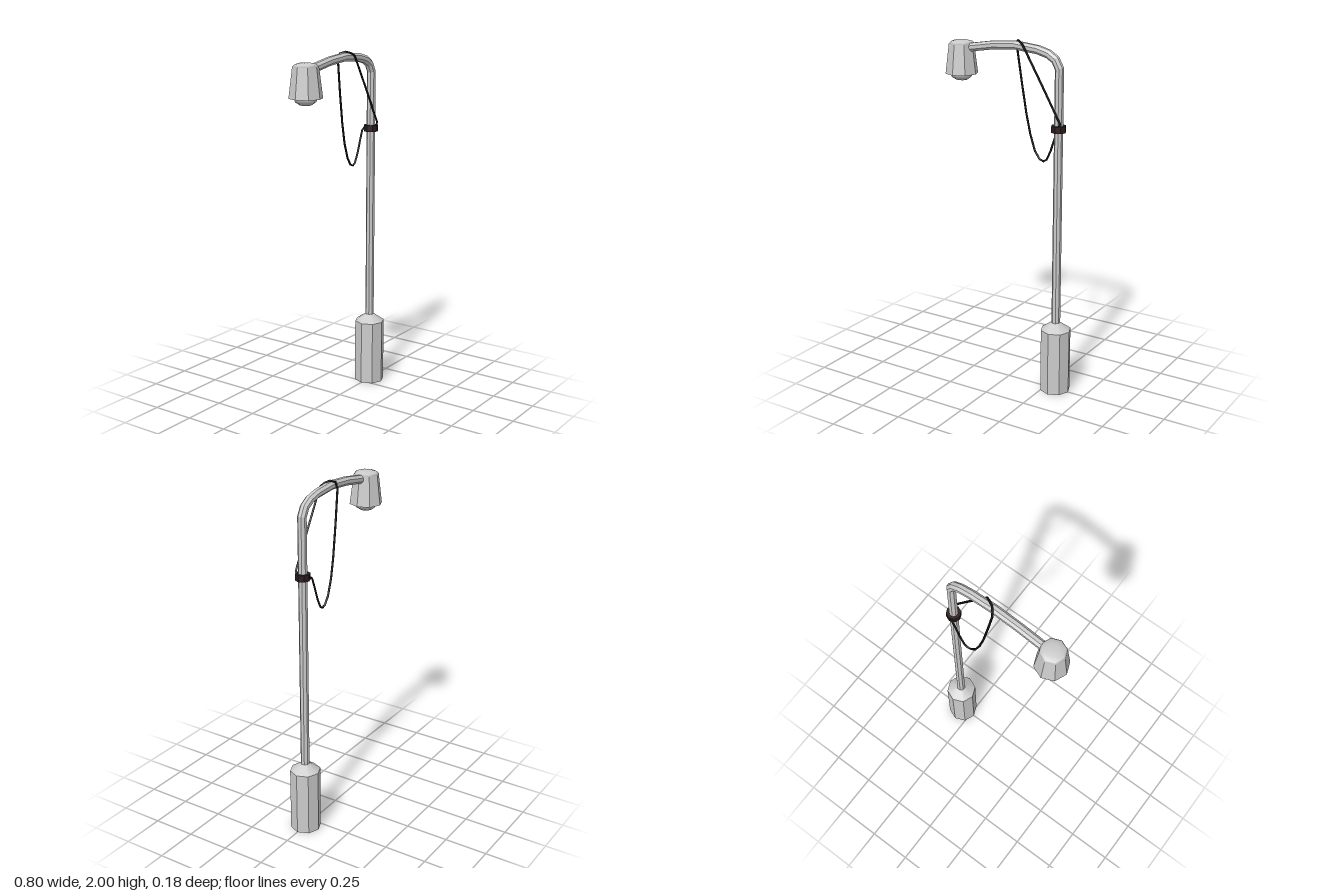
import * as THREE from 'three';

const SIDES = 8, POLE_X = 0.312, LAMP_X = -0.31;

const grey = new THREE.MeshStandardMaterial({ color: 0xcccccc, flatShading: true });
const smoothGrey = new THREE.MeshStandardMaterial({ color: 0xcccccc });
const rust = new THREE.MeshStandardMaterial({ color: 0x2c1c1c, flatShading: true });
const rubber = new THREE.MeshStandardMaterial({ color: 0x181212 });

// Straight segments between points, with averaged tangents at the bends
class Polyline extends THREE.Curve {
  constructor(points) {
    super();
    this.points = points.map(p => new THREE.Vector3(...p));
  }
  getPoint(t, target = new THREE.Vector3()) {
    const last = this.points.length - 1;
    const i = Math.min(Math.floor(t * last + 1e-6), last - 1);
    return target.lerpVectors(this.points[i], this.points[i + 1], t * last - i);
  }
  getPointAt(u, target) { return this.getPoint(u, target); }
  getTangentAt(u, target = new THREE.Vector3()) {
    const p = this.points, last = p.length - 1, i = Math.round(u * last);
    target.set(0, 0, 0);
    if (i > 0) target.add(p[i].clone().sub(p[i - 1]).normalize());
    if (i < last) target.add(p[i + 1].clone().sub(p[i]).normalize());
    return target.normalize();
  }
}

// Sweep a regular polygon along a polyline; phase turns the polygon
function sweep(points, radius, sides, phase = 0) {
  const n = points.length - 1, curve = new Polyline(points);
  const { normals, binormals } = curve.computeFrenetFrames(n, false);
  const pos = [], index = [];
  for (let i = 0; i <= n; i++) {
    for (let j = 0; j < sides; j++) {
      const a = phase + (j / sides) * Math.PI * 2;
      const v = curve.points[i].clone()
        .addScaledVector(normals[i], Math.cos(a) * radius)
        .addScaledVector(binormals[i], Math.sin(a) * radius);
      pos.push(v.x, v.y, v.z);
      if (i === n) continue;
      const b = i * sides + j, c = i * sides + (j + 1) % sides;
      index.push(b, c, b + sides, c, c + sides, b + sides);
    }
  }
  // End caps
  for (let j = 1; j < sides - 1; j++) {
    const e = n * sides;
    index.push(0, j + 1, j, e, e + j, e + j + 1);
  }
  const g = new THREE.BufferGeometry();
  g.setAttribute('position', new THREE.Float32BufferAttribute(pos, 3));
  g.setIndex(index);
  g.computeVertexNormals();
  return g;
}

export function createModel() {
  const model = new THREE.Group();
  const add = (name, geometry, material, x = 0, y = 0) => {
    const mesh = new THREE.Mesh(geometry, material);
    mesh.name = name;
    mesh.position.set(x, y, 0);
    model.add(mesh);
  };
  // Octagonal frustum standing between two heights
  const frustum = (name, rTop, rBottom, y0, y1, x, material, open = false) =>
    add(name, new THREE.CylinderGeometry(rTop, rBottom, y1 - y0, SIDES, 1, open), material, x, (y0 + y1) / 2);

  // Base
  frustum('base', 0.087, 0.087, 0, 0.375, POLE_X, grey);
  frustum('baseCollar', 0.024, 0.087, 0.375, 0.418, POLE_X, smoothGrey, true);

  // Pole bending over into the arm
  add('poleAndArm', sweep([
    [POLE_X, 0.39, 0], [POLE_X, 1.865, 0], [0.288, 1.91, 0], [0.245, 1.937, 0], [0.18, 1.954, 0],
    [0.04, 1.967, 0], [-0.1, 1.955, 0], [-0.252, 1.929, 0],
  ], 0.025, SIDES, Math.PI / 8), grey);

  // Lamp head: tapered shade, shallow cap and bulb
  frustum('lampShade', 0.071, 0.092, 1.78, 1.947, LAMP_X, grey);
  const dome = (r, h) => new THREE.SphereGeometry(r, SIDES, 3, Math.PI / 2, Math.PI * 2, 0, Math.PI / 2).scale(1, h / r, 1);
  add('lampCap', dome(0.071, 0.02), smoothGrey, LAMP_X, 1.947);
  add('bulb', dome(0.065, 0.043).rotateX(Math.PI), smoothGrey, LAMP_X, 1.782);

  // Clamp around the pole
  frustum('clamp', 0.041, 0.041, 1.522, 1.559, POLE_X, rust);

  // Cable: taut from the clamp to the arm, over it, then hanging slack behind
  add('cable', sweep([
    [0.325, 1.545, 0.026], [0.335, 1.575, 0.027], [0.22, 1.775, 0.027], [0.106, 1.968, 0.027],
    [0.085, 1.985, 0.016], [0.055, 1.994, -0.002], [0.035, 1.985, -0.024], [0.03, 1.95, -0.033],
    [0.056, 1.77, -0.038], [0.085, 1.59, -0.042], [0.11, 1.475, -0.044], [0.14, 1.385, -0.044],
    [0.17, 1.343, -0.044], [0.195, 1.334, -0.044], [0.215, 1.347, -0.044], [0.24, 1.4, -0.043],
    [0.265, 1.475, -0.042], [0.285, 1.53, -0.041], [0.305, 1.545, -0.036],
  ], 0.006, 6), rubber);

  return model;
}
